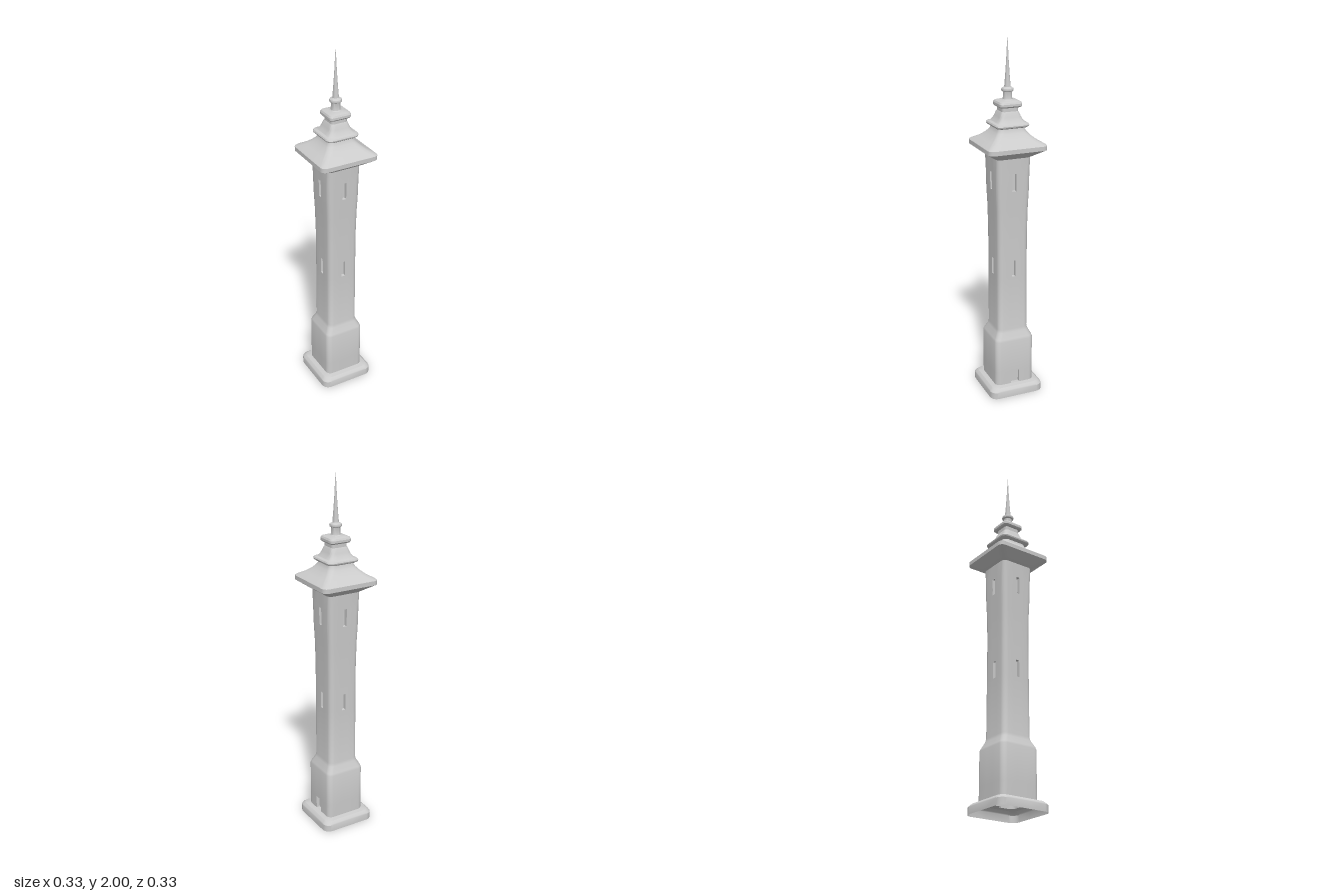
import * as THREE from 'three';
import { toCreasedNormals } from 'three/addons/utils/BufferGeometryUtils.js';

const WINDOW = 0.011; // half width of a window slit
const DOOR = 0.025;   // half width of the door
const WINDOW_ROWS = [[0.706, 0.8, 0.0875], [1.196, 1.292, 0.0945]]; // bottom, top, wall distance
const DOOR_TOP = 0.136;
const FLAT = [-DOOR, -WINDOW, WINDOW, DOOR];
const ARC = 6;
const PER_SIDE = FLAT.length + ARC + 1;

const grey = new THREE.MeshStandardMaterial({ color: 0xcccccc, side: THREE.DoubleSide });

// Loft of rounded squares; each level is [half width, y, corner radius]
function loft(levels, isHole = () => false) {
  const pos = [], index = [], n = PER_SIDE * 4;
  for (const [h, y, r] of levels) {
    for (let s = 0; s < 4; s++) {
      const c = Math.round(Math.cos(s * Math.PI / 2)), d = Math.round(Math.sin(s * Math.PI / 2));
      const add = (u, v) => pos.push(u * c + v * d, y, v * c - u * d);
      const f = h - r;
      FLAT.forEach(u => add(THREE.MathUtils.clamp(u, -f, f), h));
      for (let i = 0; i <= ARC; i++) {
        const a = i / ARC * Math.PI / 2;
        add(f + r * Math.sin(a), f + r * Math.cos(a));
      }
    }
  }
  for (let k = 0; k < levels.length - 1; k++) {
    const mid = (levels[k][1] + levels[k + 1][1]) / 2;
    for (let j = 0; j < n; j++) {
      if (isHole(mid, Math.floor(j / PER_SIDE), j % PER_SIDE)) continue;
      const a = k * n + j, b = k * n + (j + 1) % n;
      index.push(a, b, b + n, a, b + n, a + n);
    }
  }
  const g = new THREE.BufferGeometry();
  g.setAttribute('position', new THREE.Float32BufferAttribute(pos, 3));
  g.setIndex(index);
  return toCreasedNormals(g, 0.5);
}

// Box without its front, sunk into the wall on side s
function recess(name, halfWidth, y0, y1, wall, depth, s) {
  const g = new THREE.BoxGeometry(halfWidth * 2, y1 - y0, depth);
  const idx = Array.from(g.index.array);
  idx.splice(24, 6);
  g.setIndex(idx);
  g.translate(0, (y0 + y1) / 2, wall - depth / 2);
  g.rotateY(s * Math.PI / 2);
  const m = new THREE.Mesh(g, grey);
  m.name = name;
  return m;
}

export function createModel() {
  const group = new THREE.Group();
  group.name = 'tower';
  const add = (name, geometry) => {
    const m = new THREE.Mesh(geometry, grey);
    m.name = name;
    group.add(m);
  };

  // Footing, plinth and flaring shaft, open below
  const [low, high] = WINDOW_ROWS;
  const isHole = (y, side, col) =>
    (col === 1 && WINDOW_ROWS.some(([a, b]) => y > a && y < b)) ||
    (side === 1 && col < 3 && y > 0.06 && y < DOOR_TOP);
  add('towerBody', loft([
    [0.155, 0, 0.04], [0.155, 0.038, 0.04], [0.152, 0.044, 0.04], [0.138, 0.056, 0.035], [0.113, 0.06, 0.03],
    [0.113, DOOR_TOP, 0.03], [0.113, 0.325, 0.03], [0.109, 0.338, 0.03], [0.092, 0.372, 0.028], [0.088, 0.39, 0.028],
    [0.0875, low[0], 0.028], [0.0875, low[1], 0.028], [0.0875, 0.95, 0.028], [0.09, 1.09, 0.028],
    [0.094, high[0], 0.028], [0.0955, high[1], 0.028], [0.098, 1.375, 0.028],
  ], isHole));

  // Window slits on all four sides, door on the left side
  for (let s = 0; s < 4; s++)
    for (const [a, b, wall] of WINDOW_ROWS)
      group.add(recess('window', WINDOW, a, b, wall, 0.02, s));
  group.add(recess('door', DOOR, 0.06, DOOR_TOP, 0.113, 0.02, 1));

  // Wide eaves and main roof
  add('mainRoof', loft([
    [0.09, 1.372, 0.028], [0.1, 1.376, 0.028], [0.115, 1.386, 0.03], [0.155, 1.413, 0.03], [0.165, 1.42, 0.03],
    [0.165, 1.443, 0.03], [0.158, 1.449, 0.03], [0.125, 1.468, 0.03], [0.1, 1.489, 0.03],
    [0.084, 1.507, 0.03], [0.075, 1.522, 0.028], [0.072, 1.538, 0.028],
  ]));

  // Middle roof
  add('middleRoof', loft([
    [0.068, 1.53, 0.026], [0.084, 1.533, 0.03], [0.092, 1.539, 0.03], [0.094, 1.546, 0.03], [0.09, 1.553, 0.03],
    [0.076, 1.558, 0.026], [0.066, 1.57, 0.023], [0.058, 1.586, 0.02], [0.051, 1.606, 0.018], [0.046, 1.614, 0.016],
    [0.046, 1.636, 0.016],
  ]));

  // Top roof
  add('topRoof', loft([
    [0.042, 1.634, 0.016], [0.057, 1.636, 0.018], [0.063, 1.643, 0.02], [0.063, 1.655, 0.02],
    [0.058, 1.664, 0.02], [0.045, 1.669, 0.018], [0.02, 1.671, 0.015],
  ]));

  // Round finial with collar and needle
  const profile = [
    [0.034, 1.668], [0.026, 1.674], [0.024, 1.682], [0.024, 1.712], [0.031, 1.716], [0.033, 1.722],
    [0.031, 1.73], [0.022, 1.735], [0.017, 1.738], [0.0125, 1.79], [0.007, 1.87], [0.0035, 1.94], [0, 2],
  ].map(([x, y]) => new THREE.Vector2(x, y));
  add('spire', toCreasedNormals(new THREE.LatheGeometry(profile, 24), 0.6));

  return group;
}
